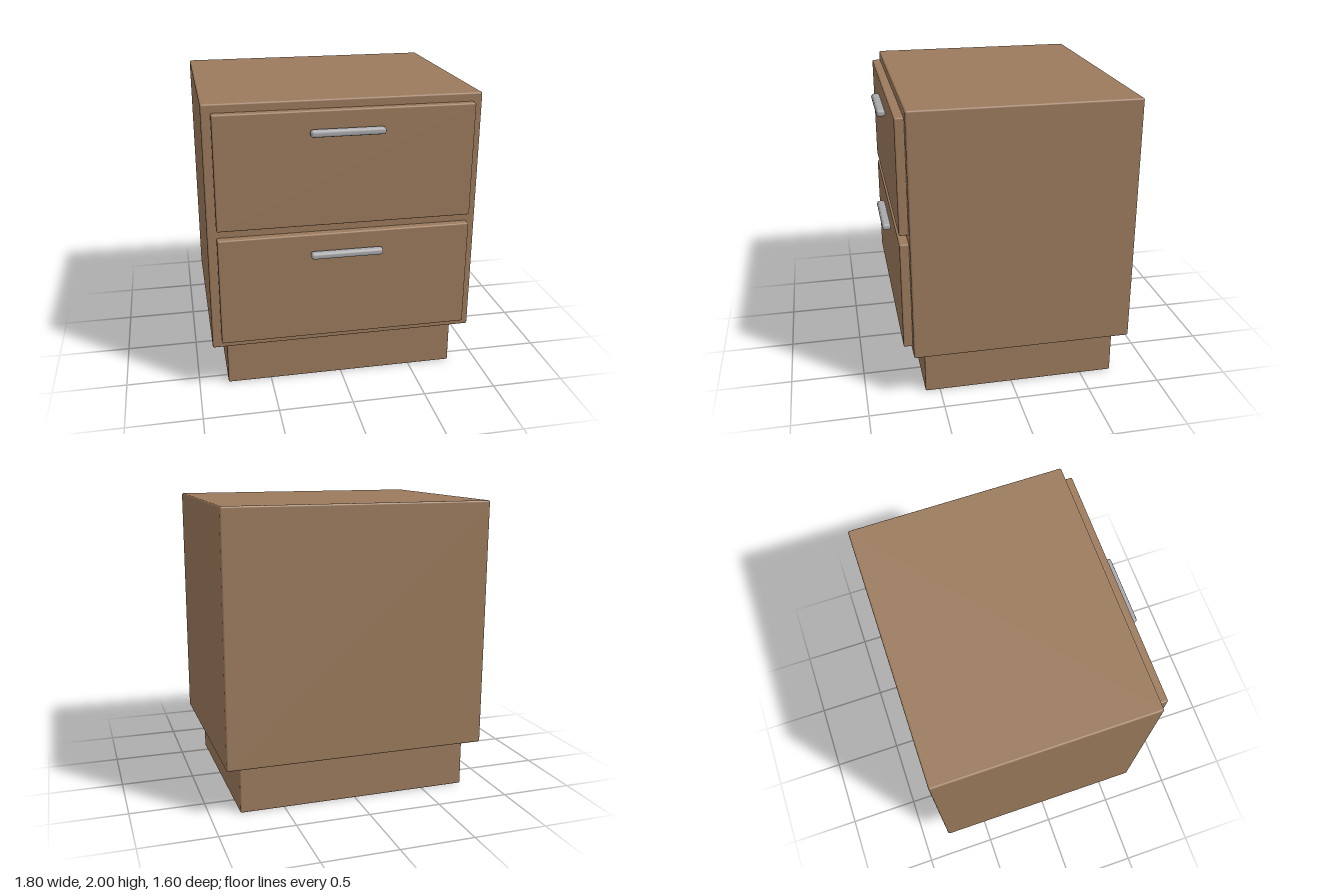
import * as THREE from 'three';
import { RoundedBoxGeometry } from 'three/addons/geometries/RoundedBoxGeometry.js';

export function createModel() {
  const wood = new THREE.MeshStandardMaterial({ color: 0x9b7a5c });
  wood.name = 'wood';
  const metal = new THREE.MeshStandardMaterial({ color: 0xa9a9ac });
  metal.name = 'metal';

  const model = new THREE.Group();
  model.name = 'nightstand';

  // Softly bevelled box centred on x, given by its y and z ranges
  const box = (name, width, [y0, y1], [z0, z1], bevel, material, segments = 2) => {
    const geometry = new RoundedBoxGeometry(width, y1 - y0, z1 - z0, segments, bevel);
    const mesh = new THREE.Mesh(geometry, material);
    mesh.name = name;
    mesh.position.set(0, (y0 + y1) / 2, (z0 + z1) / 2);
    return mesh;
  };

  // Cabinet on a recessed plinth
  model.add(box('cabinet', 1.8, [0.325, 2], [-0.8, 0.68], 0.012, wood));
  model.add(box('plinth', 1.6, [0.005, 0.325], [-0.72, 0.6], 0.01, wood));
  model.children[1].position.y -= 0.005;
  model.children[1].scale.y = 1.03;

  // Drawers, each with a bar handle
  const drawers = [
    { name: 'upperDrawer', front: [1.185, 1.945], handle: 1.808 },
    { name: 'lowerDrawer', front: [0.385, 1.125], handle: 0.99 },
  ];
  for (const { name, front, handle } of drawers) {
    const drawer = new THREE.Group();
    drawer.name = name;
    drawer.add(box('drawerFront', 1.68, front, [0.678, 0.74], 0.01, wood));
    drawer.add(box('handle', 0.48, [handle - 0.023, handle + 0.023], [0.74, 0.8], 0.018, metal, 1));
    model.add(drawer);
  }
  return model;
}
